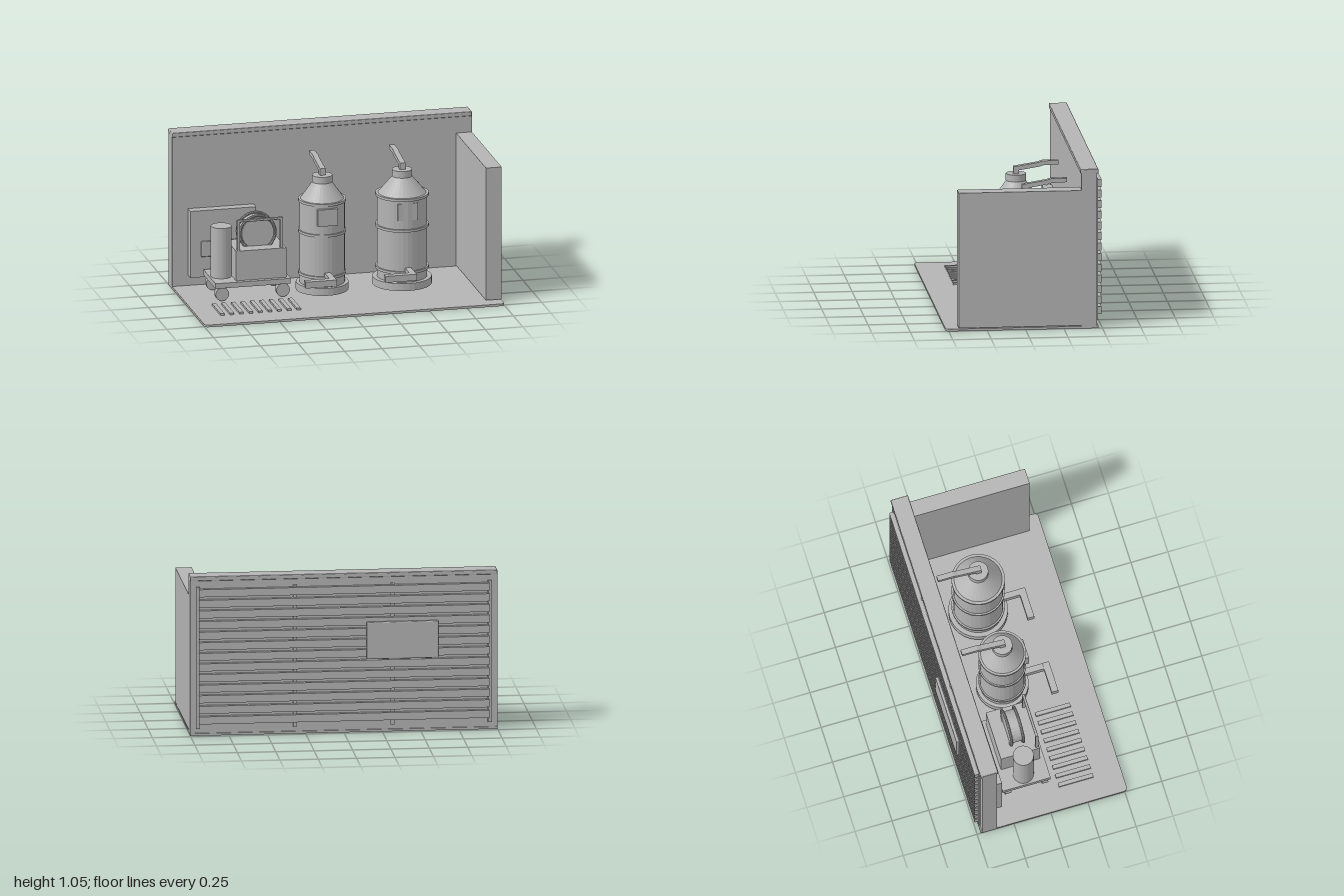
import * as THREE from 'three';
import { RoundedBoxGeometry } from 'three/addons/geometries/RoundedBoxGeometry.js';

export function createModel() {
  const root = new THREE.Group();
  root.name = 'pumpStation';
  const grey = new THREE.MeshStandardMaterial({ color: 0xb4b4b4, flatShading: true });
  grey.name = 'plain grey';

  function add(name, geometry, parent = root) {
    const mesh = new THREE.Mesh(geometry, grey);
    mesh.name = name;
    parent.add(mesh);
    return mesh;
  }
  // box from its extents; an optional radius rounds the edges
  function box(name, x0, x1, y0, y1, z0, z1, parent = root, radius = 0) {
    const size = [x1 - x0, y1 - y0, z1 - z0];
    const g = radius ? new RoundedBoxGeometry(...size, 2, radius) : new THREE.BoxGeometry(...size);
    g.translate((x0 + x1) / 2, (y0 + y1) / 2, (z0 + z1) / 2);
    return add(name, g, parent);
  }

  // floor slab with rounded corners, shallower at the back
  const slab = new THREE.Shape();
  const r = 0.03;
  slab.moveTo(-1, 0.475);
  slab.lineTo(-1, -0.52 + r);
  slab.quadraticCurveTo(-1, -0.52, -1 + r, -0.52);
  slab.lineTo(1 - r, -0.52);
  slab.quadraticCurveTo(1, -0.52, 1, -0.52 + r);
  slab.lineTo(1, 0.475);
  const floor = new THREE.ExtrudeGeometry(slab, { depth: 0.015, bevelEnabled: false, curveSegments: 5 });
  add('floor', floor.rotateX(-Math.PI / 2));

  // walls and coping
  box('backWall', -1, 1, 0.015, 1.03, -0.465, -0.365);
  box('wallCap', -1, 1, 1.025, 1.055, -0.475, -0.357, root, 0.006);
  box('sideWall', 0.895, 1, 0.02, 0.915, -0.365, 0.435);

  // rear rails, slats and plaque
  for (let i = 0; i < 4; i++) {
    const x = -0.95 + i * 0.6333;
    box('rearRail', x - 0.0125, x + 0.0125, 0.045, 0.985, -0.475, -0.465);
  }
  for (let i = 0; i < 13; i++) {
    const y = 0.08 + i * 0.0703;
    box('rearSlat', -0.945, 0.945, y, y + 0.05, -0.5, -0.47);
  }
  box('rearPlaque', -0.612, -0.142, 0.49, 0.738, -0.521, -0.5, root, 0.008);

  // wall cabinet
  box('wallCabinet', -0.895, -0.455, 0.085, 0.535, -0.365, -0.3);
  box('cabinetPlate', -0.825, -0.575, 0.225, 0.33, -0.3, -0.283, root, 0.006);

  // floor grille
  for (let i = 0; i < 9; i++) {
    const x = -0.837 + i * 0.0635;
    box('grilleBar', x - 0.0135, x + 0.0135, 0.015, 0.028, 0.1, 0.335);
  }

  // wheeled cart
  const cart = new THREE.Group();
  cart.name = 'cart';
  root.add(cart);
  box('cartDeck', -0.815, -0.313, 0.11, 0.145, -0.27, 0.055, cart);
  for (const x of [-0.765, -0.36]) {
    for (const z of [-0.23, 0.02]) {
      const wheel = add('wheel', new THREE.CylinderGeometry(0.045, 0.045, 0.04, 20), cart);
      wheel.rotation.x = Math.PI / 2;
      wheel.position.set(x, 0.065, z);
    }
  }
  const tank = add('cartTank', new THREE.CylinderGeometry(0.068, 0.068, 0.34, 28), cart);
  tank.position.set(-0.737, 0.315, -0.107);
  box('cartBox', -0.67, -0.335, 0.145, 0.345, -0.238, 0.025, cart);

  // hose reel and its carrying frame
  const reel = new THREE.Group();
  reel.name = 'hoseReel';
  reel.position.set(-0.503, 0.43, -0.108);
  cart.add(reel);
  add('reelDrum', new THREE.CylinderGeometry(0.107, 0.107, 0.085, 28).rotateX(Math.PI / 2), reel);
  for (const z of [-0.04, 0.04]) {
    add('reelRim', new THREE.TorusGeometry(0.118, 0.009, 8, 32), reel).position.z = z;
  }
  for (const x of [-0.66, -0.373]) box('framePost', x, x + 0.018, 0.345, 0.55, 0, 0.018, cart);
  box('frameBar', -0.66, -0.355, 0.535, 0.552, 0, 0.018, cart, 0.005);

  // pump barrels: flared base, banded body, cone shoulder and neck
  function barrel(x, bodyR, baseR, bandR) {
    const g = new THREE.Group();
    g.name = 'pumpBarrel';
    g.position.set(x, 0, -0.048);
    root.add(g);
    const profile = [[0, 0.03], [baseR, 0.03], [baseR, 0.08], [bodyR, 0.08], [bodyR, 0.636],
      [0.062, 0.755], [0.066, 0.755], [0.066, 0.8], [0, 0.8]];
    add('barrelBody', new THREE.LatheGeometry(profile.map(p => new THREE.Vector2(...p)), 32), g);
    for (const y of [0.145, 0.428, 0.636]) {
      const band = new THREE.CylinderGeometry(bandR, bandR, 0.017, 32);
      add('barrelBand', band, g).position.y = y;
    }
    box('barrelLabel', -0.067, 0.067, 0.497, 0.61, 0.08, 0.16, g);

    // cranked lever, drawn in side profile (first axis points to the back)
    const side = [[-0.018, 0.8], [0.02, 0.8], [0.02, 0.822], [0.15, 0.843], [0.18, 0.852],
      [0.277, 0.855], [0.277, 0.882], [0.172, 0.88], [0.14, 0.87], [-0.018, 0.845]];
    const lever = new THREE.ExtrudeGeometry(new THREE.Shape(side.map(p => new THREE.Vector2(...p))),
      { depth: 0.036, bevelEnabled: false });
    lever.translate(0, 0, -0.018).rotateY(Math.PI / 2);
    add('pumpLever', lever, g);

    // angled spout
    box('spoutNeck', -0.02, 0.02, 0.135, 0.178, 0.1, 0.298, g);
    box('spoutEnd', -0.19, 0.02, 0.137, 0.18, 0.277, 0.322, g);
  }
  barrel(-0.078, 0.147, 0.171, 0.156);
  barrel(0.455, 0.163, 0.193, 0.174);

  return root;
}
